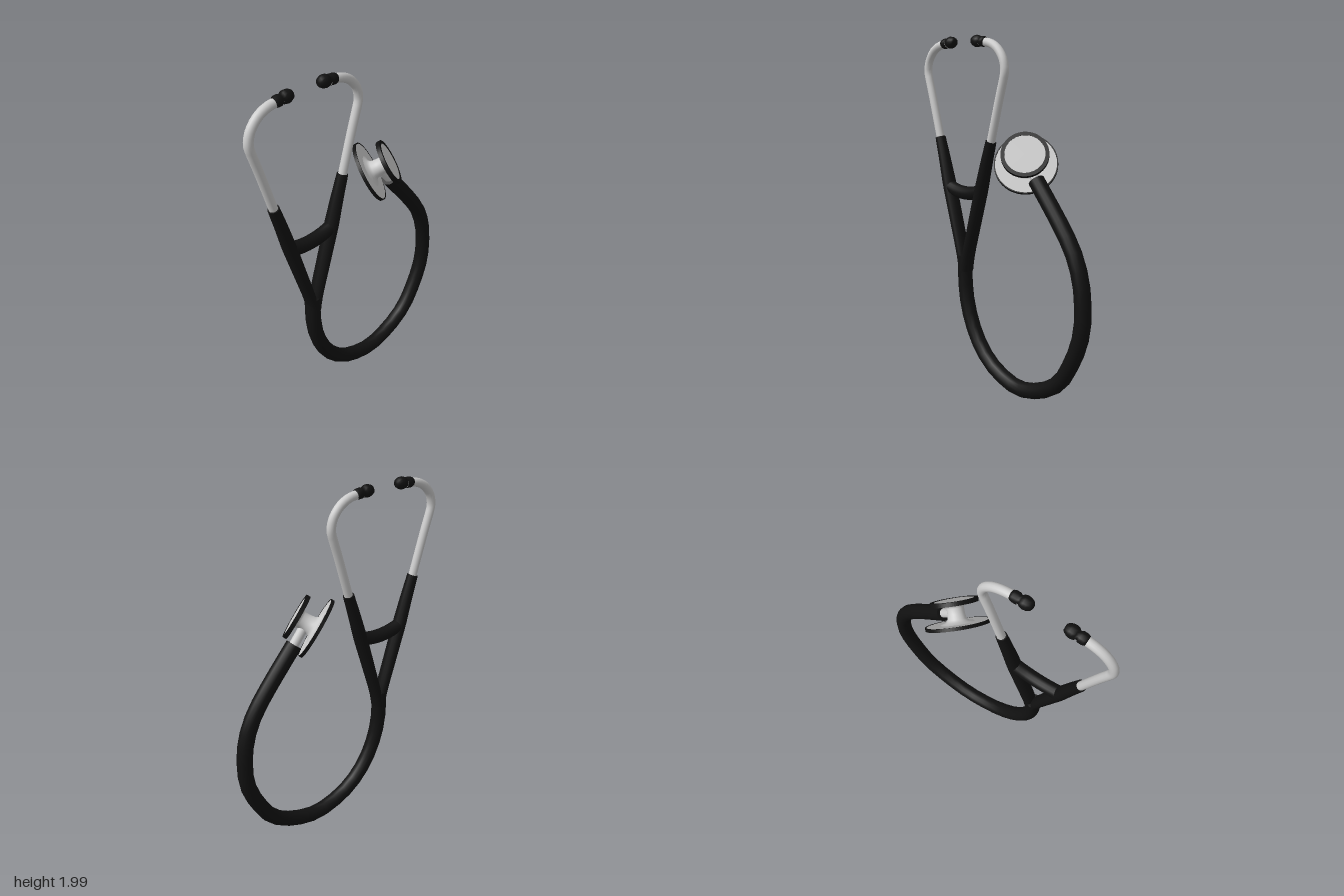
import * as THREE from 'three';

const RUBBER = new THREE.MeshStandardMaterial({ color: 0x111111 });
const METAL = new THREE.MeshStandardMaterial({ color: 0xcccccc });
const Z = 0.013;        // plane of the tubing
const AXIS = -0.312;    // mirror axis of the headset
const UP = new THREE.Vector3(0, 1, 0);

const curveOf = (pts) => new THREE.CatmullRomCurve3(
  pts.map(([x, y]) => new THREE.Vector3(x, y, Z)), false, 'centripetal');

function add(parent, name, geometry, material) {
  const mesh = new THREE.Mesh(geometry, material);
  mesh.name = name;
  parent.add(mesh);
  return mesh;
}

// Capped tube; size(u) gives [half-width in the plane, half-depth along z].
function addTube(parent, name, pts, size, material, segments, sides = 14) {
  const group = new THREE.Group();
  group.name = name;
  parent.add(group);
  const curve = curveOf(pts);
  const geo = new THREE.TubeGeometry(curve, segments, 1, sides);
  const pos = geo.attributes.position, nor = geo.attributes.normal;
  for (let i = 0; i < pos.count; i++) {
    const u = Math.floor(i / (sides + 1)) / segments;
    const c = curve.getPointAt(u), [w, d] = size(u);
    pos.setXYZ(i, c.x + (pos.getX(i) - c.x) * w, c.y + (pos.getY(i) - c.y) * w,
      c.z + (pos.getZ(i) - c.z) * d);
    const n = new THREE.Vector3(nor.getX(i) / w, nor.getY(i) / w, nor.getZ(i) / d).normalize();
    nor.setXYZ(i, n.x, n.y, n.z);
  }
  add(group, name + 'Wall', geo, material);
  for (const u of [0, 1]) {
    const [w, d] = size(u);
    const cap = add(group, name + 'Cap', new THREE.CircleGeometry(1, sides), material);
    const out = curve.getTangentAt(u).multiplyScalar(u ? 1 : -1);
    const side = new THREE.Vector3(0, 0, 1);
    const across = new THREE.Vector3().crossVectors(out, side);
    cap.quaternion.setFromRotationMatrix(new THREE.Matrix4().makeBasis(side, across, out));
    cap.scale.set(d, w, 1);
    cap.position.copy(curve.getPointAt(u));
  }
}

function lathe(profile, sides) {
  return new THREE.LatheGeometry(profile.map(([r, y]) => new THREE.Vector2(r, y)), sides);
}

// One side of the headset: ear tube, eartip and rubber arm
function addHeadsetSide(parent, s) {
  const side = new THREE.Group();
  side.name = s > 0 ? 'leftHeadset' : 'rightHeadset';
  parent.add(side);
  const at = (pts) => pts.map(([x, y]) => [AXIS + s * x, y]);

  addTube(side, 'earTube', at([[0.222, 1.37], [0.309, 1.66], [0.338, 1.75], [0.35, 1.795],
    [0.347, 1.83], [0.332, 1.87], [0.29, 1.918], [0.235, 1.946], [0.175, 1.956], [0.15, 1.958]]),
  () => [0.024, 0.024], METAL, 30);

  // Arm swells below the ear tube, then flattens where both arms merge
  addTube(side, 'arm', at([[0.235, 1.415], [0.195, 1.29], [0.147, 1.13], [0.085, 0.93], [0.022, 0.72], [0.008, 0.64]]),
    (u) => {
      const k = Math.min(u / 0.35, 1), j = Math.max((u - 0.4) / 0.6, 0);
      return [0.031 + 0.006 * k - 0.008 * j, 0.031 + 0.012 * k];
    }, RUBBER, 18);

  const tip = add(side, 'eartip', lathe([[0, -0.034], [0.024, -0.034], [0.029, -0.02],
    [0.029, 0.002], [0.022, 0.012], [0.03, 0.022], [0.034, 0.038], [0.032, 0.054],
    [0.024, 0.072], [0.014, 0.079], [0, 0.08]], 14), RUBBER);
  tip.position.set(AXIS + s * 0.16, 1.959, Z);
  tip.quaternion.setFromUnitVectors(UP, new THREE.Vector3(-s, 0.09, 0).normalize());
}

// Chestpiece, built along y and then tilted
function addChestpiece(parent) {
  const chest = new THREE.Group();
  chest.name = 'chestpiece';
  chest.position.set(0.205, 1.339, Z);
  chest.quaternion.setFromUnitVectors(UP, new THREE.Vector3(0.6, 0.5, 0.62).normalize());
  parent.add(chest);

  add(chest, 'hub', lathe([[0.09, -0.052], [0.062, -0.044], [0.05, -0.03],
    [0.046, 0], [0.046, 0.03], [0.056, 0.042], [0.08, 0.052]], 32), METAL);

  // Metal plate in a rubber rim
  const disc = (name, y, radius, rim, height) => {
    const inner = radius - rim;
    const plate = add(chest, name, new THREE.CylinderGeometry(inner, inner, height * 0.84, 40), METAL);
    plate.position.y = y;
    const shape = new THREE.Shape().absarc(0, 0, radius, 0, Math.PI * 2);
    shape.holes.push(new THREE.Path().absarc(0, 0, inner, 0, Math.PI * 2, true));
    const ring = add(chest, name + 'Rim', new THREE.ExtrudeGeometry(shape,
      { depth: height, bevelEnabled: false, curveSegments: 40 }), RUBBER);
    ring.rotation.x = -Math.PI / 2;
    ring.position.y = y - height / 2;
  };
  disc('diaphragm', -0.06, 0.172, 0.006, 0.018);
  disc('bell', 0.06, 0.127, 0.02, 0.022);
}

export function createModel() {
  const model = new THREE.Group();
  model.name = 'stethoscope';

  for (const s of [-1, 1]) addHeadsetSide(model, s);
  addChestpiece(model);

  // Curved bridge between the arms
  addTube(model, 'bridge', [-0.138, -0.07, 0, 0.07, 0.138].map((x) => [AXIS + x, 1.103 + 1.1 * x * x]),
    () => [0.039, 0.039], RUBBER, 10);

  // Long looping tube from the junction to the chestpiece
  addTube(model, 'mainTube', [[-0.317, 0.73], [-0.318, 0.6], [-0.309, 0.495],
    [-0.275, 0.373], [-0.23, 0.28], [-0.17, 0.198], [-0.082, 0.122], [0.026, 0.072],
    [0.156, 0.046], [0.286, 0.07], [0.408, 0.126], [0.49, 0.193], [0.555, 0.296],
    [0.602, 0.397], [0.63, 0.495], [0.635, 0.6], [0.625, 0.72], [0.585, 0.85],
    [0.529, 0.947], [0.431, 1.071], [0.288, 1.236]], () => [0.044, 0.044], RUBBER, 28);

  // Metal stem joining tube and chestpiece
  addTube(model, 'stem', [[0.305, 1.216], [0.25, 1.283], [0.207, 1.336]], () => [0.026, 0.026], METAL, 4);

  return model;
}
